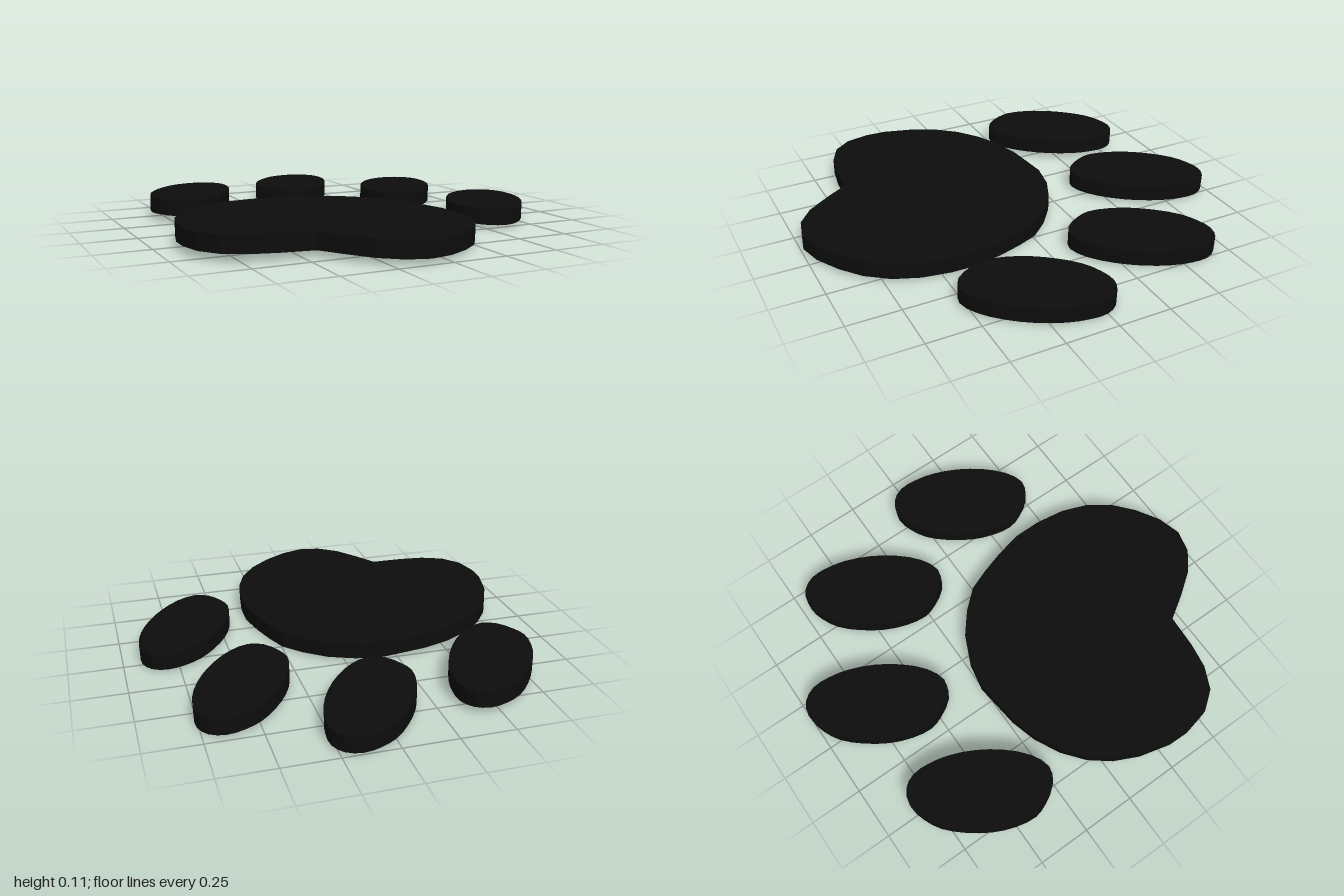
import * as THREE from 'three';

const THICKNESS = 0.076;
const material = new THREE.MeshStandardMaterial({ color: 0x0d0d0d });

// Outlines are [x, z] pairs as seen from above
const PAD = [
  [-0.18, -0.26], [-0.05, -0.235], [0.07, -0.18], [0.17, -0.1], [0.25, -0.01], [0.29, 0.09],
  [0.325, 0.2], [0.355, 0.33], [0.355, 0.46], [0.335, 0.595], [0.29, 0.715], [0.215, 0.82],
  [0.12, 0.9], [0.01, 0.965], [-0.1, 0.995], [-0.205, 0.97], [-0.295, 0.9], [-0.375, 0.79],
  [-0.445, 0.68], [-0.6, 0.67], [-0.72, 0.65], [-0.825, 0.6], [-0.89, 0.515], [-0.915, 0.4],
  [-0.913, 0.3], [-0.875, 0.15], [-0.82, 0.035], [-0.745, -0.06], [-0.645, -0.14],
  [-0.525, -0.2], [-0.4, -0.235],
];
const TOE = [
  [0.127, -0.307], [0.196, -0.28], [0.233, -0.217], [0.233, -0.132], [0.212, -0.037],
  [0.159, 0.08], [0.085, 0.185], [-0.005, 0.27], [-0.095, 0.307], [-0.164, 0.28],
  [-0.217, 0.2], [-0.238, 0.132], [-0.222, 0.032], [-0.18, -0.069], [-0.111, -0.169],
  [-0.032, -0.249], [0.048, -0.291],
];
const TOE_CENTRES = [[-0.585, -0.538], [0.035, -0.695], [0.525, -0.403], [0.68, 0.22]];

// Flat slab extruded upward from an outline
function slab(name, points) {
  const shape = new THREE.Shape(points.map(([x, z]) => new THREE.Vector2(x, -z)));
  const geometry = new THREE.ExtrudeGeometry(shape, { depth: THICKNESS, bevelEnabled: false });
  geometry.rotateX(-Math.PI / 2);
  const mesh = new THREE.Mesh(geometry, material);
  mesh.name = name;
  return mesh;
}

// Rounds a coarse closed outline
function smooth(points, count) {
  const corners = points.map(([x, z]) => new THREE.Vector3(x, 0, z));
  const curve = new THREE.CatmullRomCurve3(corners, true);
  return curve.getPoints(count).slice(0, -1).map((p) => [p.x, p.z]);
}

export function createModel() {
  const model = new THREE.Group();
  model.name = 'pawPrint';

  // The whole print lies at a very slight tilt
  const print = new THREE.Group();
  print.name = 'tiltedPrint';
  print.rotation.set(-0.01, 0, -0.021);
  print.position.y = 0.0165;
  model.add(print);

  print.add(slab('mainPad', PAD));

  // Four equal toes, a touch higher than the pad
  const toeOutline = smooth(TOE, 34);
  TOE_CENTRES.forEach(([x, z], i) => {
    const toe = slab(`toe${i + 1}`, toeOutline);
    toe.position.set(x, 0.01, z);
    print.add(toe);
  });

  return model;
}
